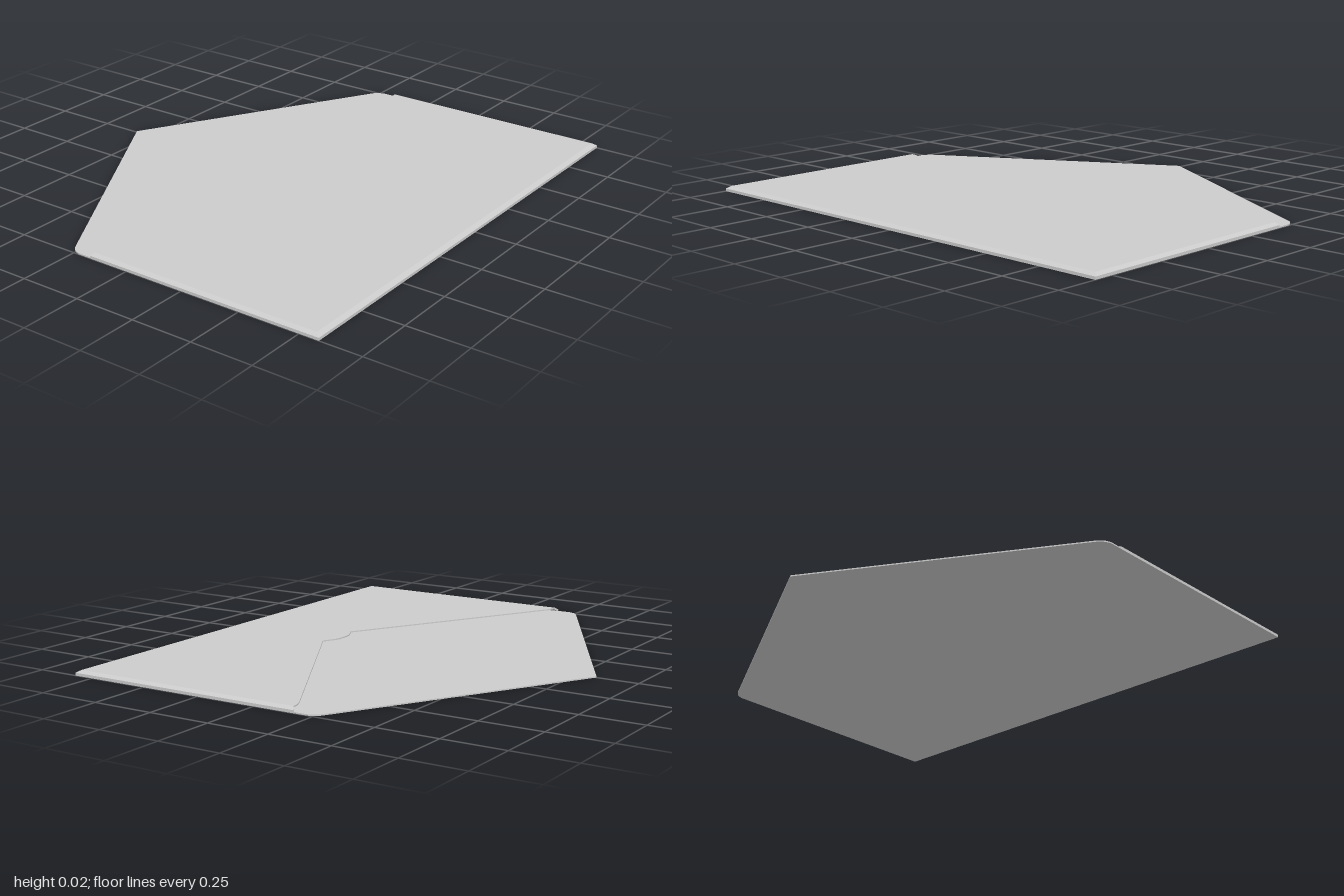
import * as THREE from 'three';

const SHEET = 0.005; // paper thickness
const TOP = 0.021;   // height of the closed pocket

const material = new THREE.MeshStandardMaterial({ color: 0xcccccc, side: THREE.DoubleSide, flatShading: true });

// Flat sheet from a shape drawn as (x, z), with its upper face at the given height
function sheet(name, shape, top) {
  const geometry = new THREE.ExtrudeGeometry(shape, { depth: SHEET, bevelEnabled: false, curveSegments: 6 });
  geometry.rotateX(Math.PI / 2).translate(0, top, 0);
  const mesh = new THREE.Mesh(geometry, material);
  mesh.name = name;
  return mesh;
}

// Back sheet with the open pointed flap
function backShape() {
  const s = new THREE.Shape();
  s.moveTo(-1, 0.83);
  s.lineTo(1, 0.83);
  s.lineTo(1, -0.225);
  s.quadraticCurveTo(0.995, -0.255, 0.97, -0.272);
  s.lineTo(0, -0.83);
  s.lineTo(-0.97, -0.272);
  s.quadraticCurveTo(-0.995, -0.255, -1, -0.225);
  s.closePath();
  return s;
}

// Pocket face with its V-shaped mouth and small thumb notch
function pocketShape() {
  const s = new THREE.Shape();
  s.moveTo(-0.985, 0.812);
  s.lineTo(0.985, 0.812);
  s.lineTo(0.985, -0.16);
  s.quadraticCurveTo(0.955, -0.16, 0.93, -0.145);
  s.lineTo(0.1, 0.335);
  s.bezierCurveTo(0.05, 0.308, 0.05, 0.302, 0, 0.302);
  s.bezierCurveTo(-0.05, 0.302, -0.05, 0.308, -0.1, 0.335);
  s.lineTo(-0.93, -0.145);
  s.quadraticCurveTo(-0.955, -0.16, -0.985, -0.16);
  s.closePath();
  return s;
}

// Folded rim joining pocket and back: a bent section swept round three sides
function pocketRim() {
  const section = [[0, SHEET], [0, 0.011], [0.015, TOP], [0.02, TOP - SHEET], [0.006, SHEET]];
  const corners = [[-1, -0.17, 0.6], [-1, 0.83, -1.2], [1, 0.83, -1.2], [1, -0.17, 0.6]];
  const rings = corners.map(([x, z, k]) =>
    section.map(([inset, y]) => [x - Math.sign(x) * inset, y, z + k * inset]));
  const points = [];
  const tri = (...p) => p.forEach((v) => points.push(...v));
  const n = section.length;
  for (let i = 0; i < rings.length - 1; i++) {
    for (let k = 0; k < n; k++) {
      const j = (k + 1) % n;
      const a = rings[i][k], b = rings[i + 1][k], c = rings[i + 1][j], d = rings[i][j];
      tri(a, b, c);
      tri(a, c, d);
    }
  }
  // End caps at the mouth
  const first = rings[0], last = rings[rings.length - 1];
  for (let k = 1; k < n - 1; k++) {
    tri(first[0], first[k], first[k + 1]);
    tri(last[0], last[k + 1], last[k]);
  }
  const geometry = new THREE.BufferGeometry();
  geometry.setAttribute('position', new THREE.Float32BufferAttribute(points, 3));
  geometry.computeVertexNormals();
  const mesh = new THREE.Mesh(geometry, material);
  mesh.name = 'pocketRim';
  return mesh;
}

export function createModel() {
  const envelope = new THREE.Group();
  envelope.name = 'envelope';
  envelope.add(
    sheet('backAndFlap', backShape(), SHEET),
    sheet('pocketFace', pocketShape(), TOP),
    pocketRim(),
  );
  return envelope;
}
